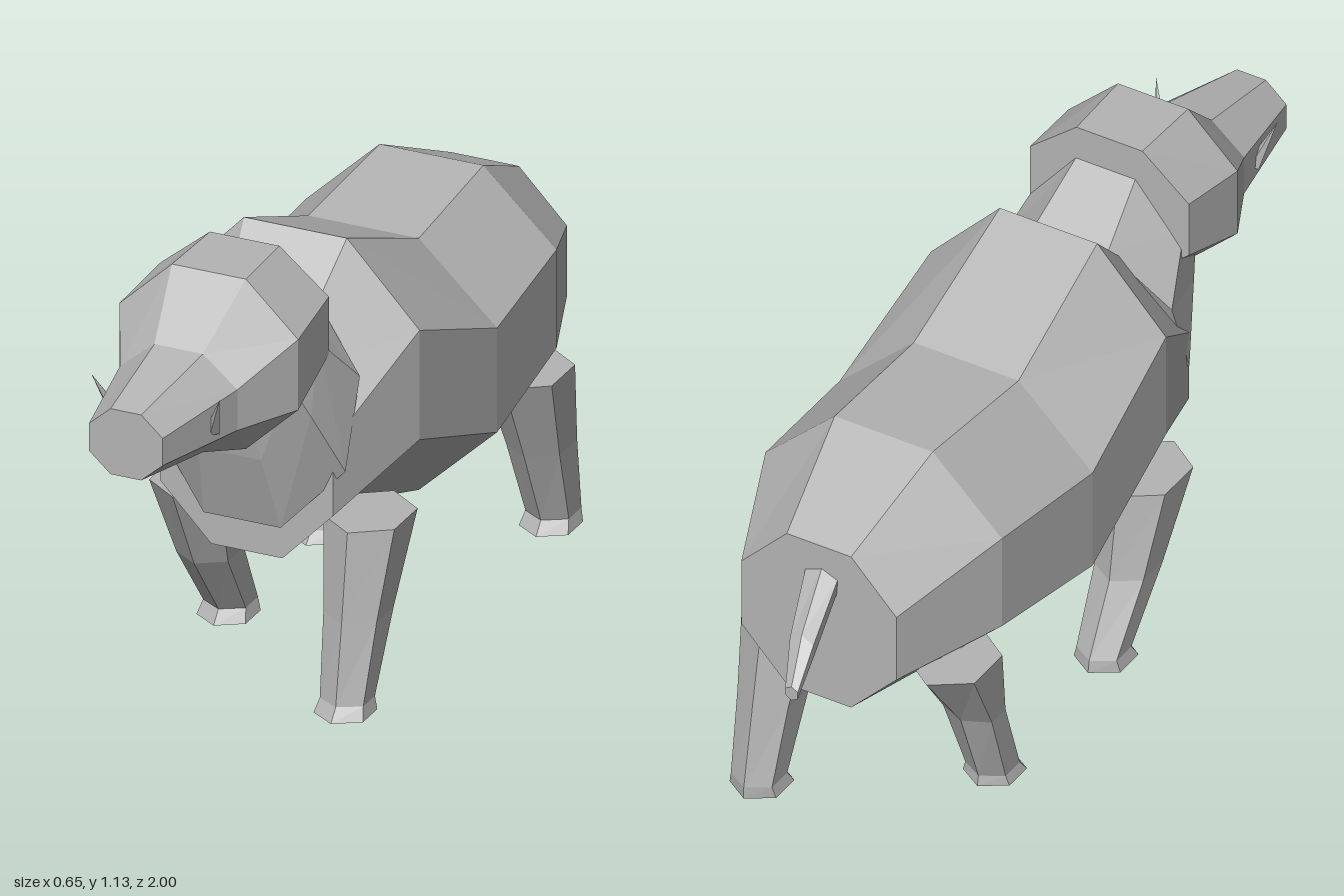
import * as THREE from 'three';

const grey = new THREE.MeshStandardMaterial({ color: 0xb4b4b4, flatShading: true });
grey.name = 'stone grey';

// Ring: [centre x, half width, low y, low z, high y, high z]; flats face left and right
function ringPoints([cx, hw, y0, z0, y1, z1], n) {
  const pts = [];
  const uMax = Math.cos(Math.PI / n), vMax = n % 4 === 0 ? uMax : 1;
  for (let i = 0; i < n; i++) {
    const a = ((i + 0.5) * 2 * Math.PI) / n;
    const t = (Math.sin(a) / vMax + 1) / 2;
    pts.push([cx + (hw * Math.cos(a)) / uMax, y0 + (y1 - y0) * t, z0 + (z1 - z0) * t]);
  }
  return pts;
}

// Closed faceted skin over a row of rings, with flat caps
function loft(name, n, rings) {
  const loops = rings.map((r) => ringPoints(r, n));
  const pos = [];
  const tri = (a, b, c) => pos.push(...a, ...b, ...c);
  for (let k = 0; k < loops.length - 1; k++) {
    for (let i = 0; i < n; i++) {
      const j = (i + 1) % n, a = loops[k], b = loops[k + 1];
      tri(a[i], a[j], b[j]);
      tri(a[i], b[j], b[i]);
    }
  }
  const first = loops[0], last = loops[loops.length - 1];
  for (let i = 1; i < n - 1; i++) {
    tri(first[0], first[i + 1], first[i]);
    tri(last[0], last[i], last[i + 1]);
  }
  const geo = new THREE.BufferGeometry();
  geo.setAttribute('position', new THREE.Float32BufferAttribute(pos, 3));
  geo.computeVertexNormals();
  const mesh = new THREE.Mesh(geo, grey);
  mesh.name = name;
  return mesh;
}

// Upright ring at one z
const upright = (z, bottom, top, hw, cx = 0) => [cx, hw, bottom, z, top, z];

// Six-sided leg; levels run downward as [y, back z, front z, half width]
const leg = (name, x, levels) =>
  loft(name, 6, levels.map(([y, zb, zf, hw]) => [x, hw, y, zb, y, zf]));

function spike(name, from, to, radius) {
  const a = new THREE.Vector3(...from), b = new THREE.Vector3(...to);
  const dir = b.clone().sub(a);
  const mesh = new THREE.Mesh(new THREE.ConeGeometry(radius, dir.length(), 4), grey);
  mesh.position.copy(a).add(b).multiplyScalar(0.5);
  mesh.quaternion.setFromUnitVectors(new THREE.Vector3(0, 1, 0), dir.normalize());
  mesh.name = name;
  return mesh;
}

export function createModel() {
  const model = new THREE.Group();
  model.name = 'fourLeggedAnimal';

  // Barrel body, rump to chest
  model.add(loft('body', 8, [
    upright(-0.795, 0.385, 0.8, 0.2),
    upright(-0.52, 0.35, 0.93, 0.305),
    upright(-0.17, 0.29, 0.905, 0.326),
    upright(0.18, 0.41, 1.055, 0.303),
    upright(0.43, 0.373, 0.81, 0.21),
  ]));

  // Neck leaning up into the head
  model.add(loft('neck', 8, [
    [0.005, 0.227, 0.465, 0.465, 0.95, 0.285],
    [0.005, 0.185, 0.655, 0.53, 1.05, 0.43],
    [0, 0.16, 0.78, 0.56, 1.05, 0.5],
  ]));

  // Head and blunt muzzle, turned slightly to its right
  model.add(loft('head', 8, [
    upright(0.43, 0.795, 1.135, 0.205, -0.005),
    upright(0.615, 0.72, 1.135, 0.218, -0.005),
    upright(0.755, 0.765, 1.005, 0.143, -0.012),
    upright(1.0, 0.795, 0.955, 0.09, -0.025),
  ]));

  // Tusks beside the muzzle
  model.add(spike('leftTusk', [0.105, 0.86, 0.825], [0.143, 0.963, 0.872], 0.016));
  model.add(spike('rightTusk', [-0.135, 0.86, 0.825], [-0.17, 0.963, 0.872], 0.016));

  // Tail, tip to root
  model.add(loft('tail', 6, [
    [-0.054, 0.016, 0.525, -1.0, 0.562, -1.0],
    [-0.035, 0.03, 0.575, -0.93, 0.65, -0.925],
    [-0.005, 0.042, 0.665, -0.8, 0.745, -0.785],
  ]));

  // Legs in mid stride
  model.add(leg('leftFrontLeg', 0.212, [
    [0.43, 0.12, 0.36, 0.086],
    [0.22, 0.215, 0.39, 0.065],
    [0.03, 0.3, 0.42, 0.053],
    [0.0, 0.295, 0.445, 0.06],
  ]));
  model.add(leg('rightFrontLeg', -0.214, [
    [0.43, 0.12, 0.36, 0.086],
    [0.22, 0.085, 0.25, 0.063],
    [0.055, 0.0, 0.125, 0.052],
    [0.025, -0.005, 0.15, 0.06],
  ]));
  model.add(leg('leftBackLeg', 0.212, [
    [0.43, -0.69, -0.45, 0.086],
    [0.22, -0.73, -0.55, 0.065],
    [0.03, -0.765, -0.635, 0.053],
    [0.0, -0.765, -0.61, 0.06],
  ]));
  model.add(leg('rightBackLeg', -0.214, [
    [0.43, -0.69, -0.45, 0.086],
    [0.24, -0.545, -0.43, 0.063],
    [0.04, -0.47, -0.35, 0.052],
    [0.015, -0.475, -0.325, 0.06],
  ]));

  return model;
}
